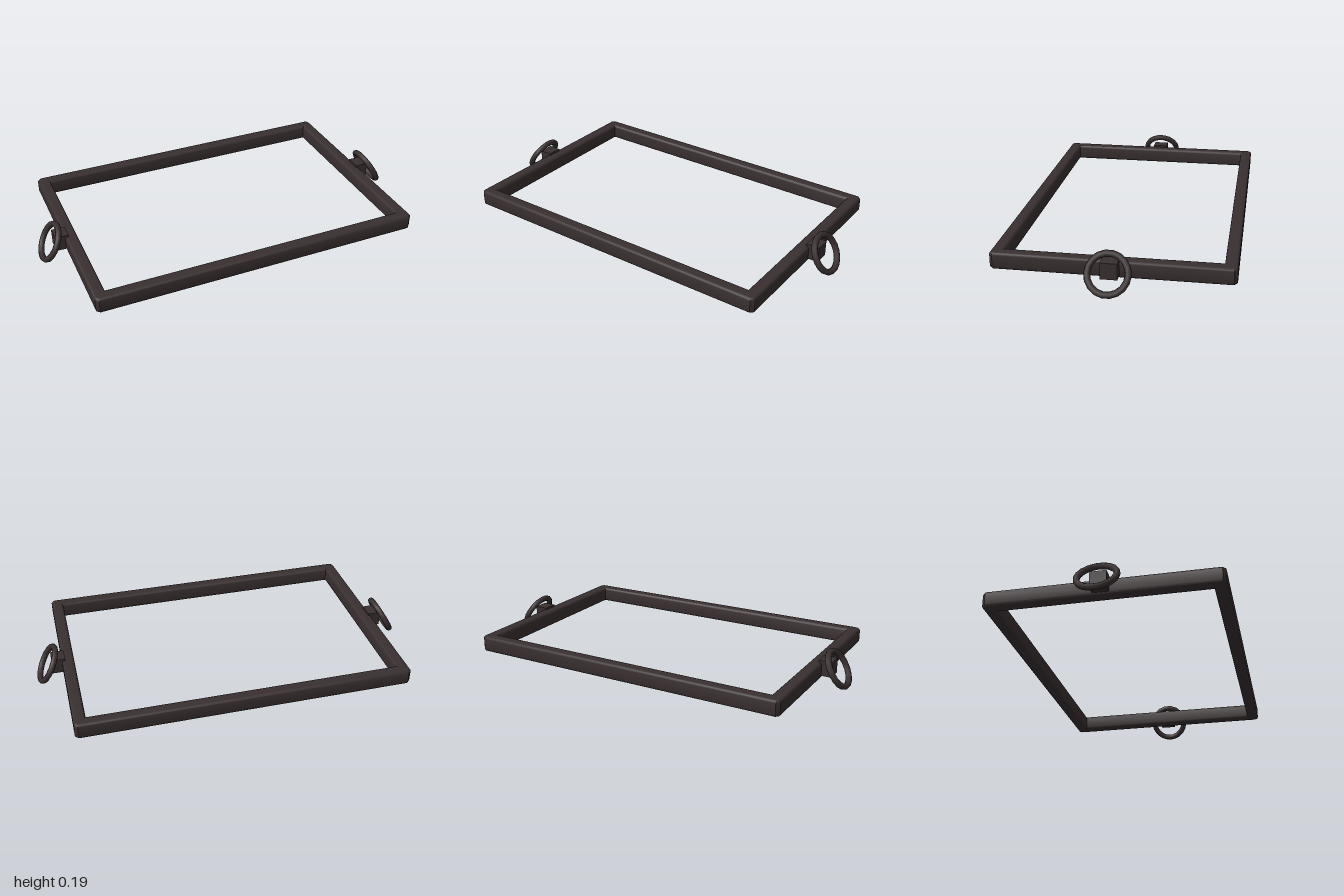
import * as THREE from 'three';
import { toCreasedNormals } from 'three/addons/utils/BufferGeometryUtils.js';

const iron = new THREE.MeshStandardMaterial({ color: 0x392f30 });
iron.name = 'darkIron';

function part(name, geometry, parent) {
  const mesh = new THREE.Mesh(geometry, iron);
  mesh.name = name;
  parent.add(mesh);
  return mesh;
}

// Rectangle outline with cut corners
function rectangle(Type, w, d, cut) {
  const path = new Type();
  const points = [];
  for (const [sx, sy] of [[1, 1], [-1, 1], [-1, -1], [1, -1]]) {
    const a = [sx * (w - cut), sy * d];
    const b = [sx * w, sy * (d - cut)];
    const corner = cut === 0 ? [a] : sx * sy > 0 ? [b, a] : [a, b];
    points.push(...corner.map(([x, y]) => new THREE.Vector2(x, y)));
  }
  return path.setFromPoints(points);
}

export function createModel() {
  const model = new THREE.Group();
  model.name = 'trayFrame';

  // Four mitred bars with softened edges
  const bevel = 0.014;
  const outline = rectangle(THREE.Shape, 0.862 - bevel, 0.574 - bevel, 0.008);
  outline.holes.push(rectangle(THREE.Path, 0.799 + bevel, 0.511 + bevel, 0));
  const frame = new THREE.ExtrudeGeometry(outline, {
    depth: 0.084 - 2 * bevel, bevelEnabled: true,
    bevelSize: bevel, bevelThickness: bevel, bevelSegments: 3,
  });
  frame.rotateX(-Math.PI / 2).translate(0, 0.045 + bevel, 0);
  part('frame', toCreasedNormals(frame, 0.6), model);

  // A square lug with a leaning pull ring on each end
  for (const side of [1, -1]) {
    const handle = new THREE.Group();
    handle.name = side > 0 ? 'leftHandle' : 'rightHandle';
    model.add(handle);

    const lug = part('lug', new THREE.BoxGeometry(0.07, 0.08, 0.08), handle);
    lug.position.set(side * 0.88, 0.1, 0);

    const ringGeometry = new THREE.TorusGeometry(0.094, 0.016, 8, 18);
    ringGeometry.rotateY(Math.PI / 2);
    const ring = part('pullRing', ringGeometry, handle);
    ring.position.set(side * 0.936, 0.099, 0);
    ring.rotation.z = side * Math.PI / 6;
  }
  return model;
}
